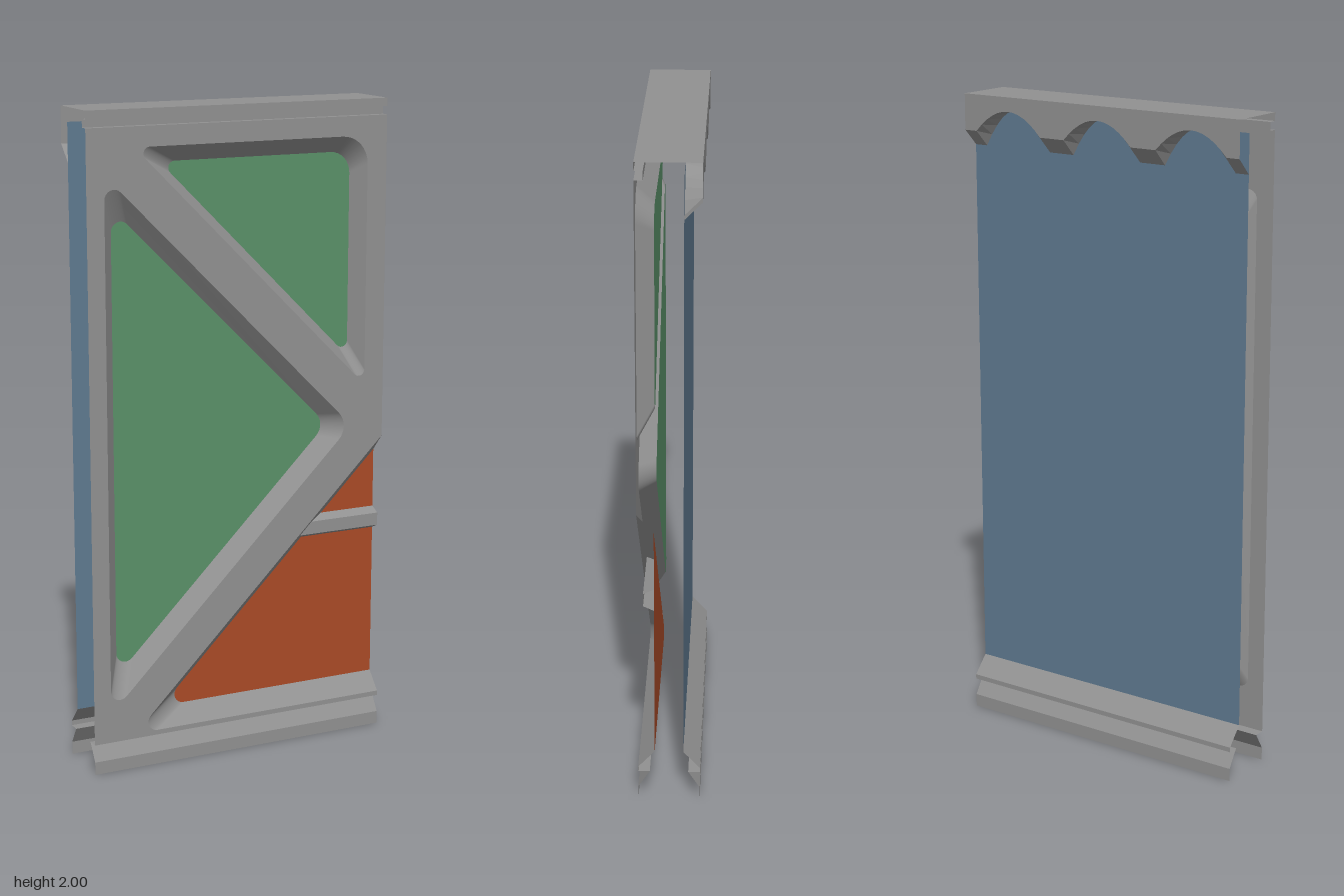
import * as THREE from 'three';

const W = 0.49;        // half width
const F = 0.093;       // outer faces at z = +F and z = -F
const R = 0.043;       // recessed panels at z = +R and z = -R

const material = (color, flatShading = false) =>
  new THREE.MeshStandardMaterial({ color, flatShading, side: THREE.DoubleSide });
const grey = material(0x919191);
const greyFlat = material(0x919191, true);
const green = material(0x5a9169);
const orange = material(0xaa4a27);
const blue = material(0x5f7a90);

// Outline from corners [x, y, radius]; every rounded corner gives the same number of points
function rounded(corners, steps = 8) {
  const pts = [];
  corners.forEach(([x, y, r], i) => {
    const v = new THREE.Vector2(x, y);
    if (!r) { pts.push(v); return; }
    const n = corners.length;
    const side = k => new THREE.Vector2(corners[k][0], corners[k][1]).sub(v).normalize();
    const a = side((i + n - 1) % n), b = side((i + 1) % n);
    const half = Math.acos(a.dot(b)) / 2;
    const c = a.clone().add(b).normalize().multiplyScalar(r / Math.sin(half)).add(v);
    const reach = r / Math.tan(half);
    const p = a.multiplyScalar(reach).add(v).sub(c), q = b.multiplyScalar(reach).add(v).sub(c);
    const start = p.angle();
    let turn = q.angle() - start;
    if (turn > Math.PI) turn -= 2 * Math.PI;
    if (turn < -Math.PI) turn += 2 * Math.PI;
    for (let s = 0; s <= steps; s++) {
      const t = start + turn * s / steps;
      pts.push(new THREE.Vector2(c.x + r * Math.cos(t), c.y + r * Math.sin(t)));
    }
  });
  return pts;
}

// Surface between two rows of 3D points
function ribbon(rowA, rowB, closed = false) {
  const n = rowA.length, index = [];
  for (let i = 0; i < (closed ? n : n - 1); i++) {
    const j = (i + 1) % n;
    index.push(i, j, n + i, j, n + j, n + i);
  }
  const g = new THREE.BufferGeometry().setFromPoints([...rowA, ...rowB]);
  g.setIndex(index);
  g.computeVertexNormals();
  return g;
}

const corner = (x, y) => new THREE.Vector2(x, y);
const atZ = (pts, z) => pts.map(p => new THREE.Vector3(p.x, p.y, z));

// Folded sheet: a [z, y] profile run along x
function sheet(profile, startX = () => -W) {
  return ribbon(
    profile.map(([z, y]) => new THREE.Vector3(startX(z, y), y, z)),
    profile.map(([z, y]) => new THREE.Vector3(W, y, z)));
}

// Lower edge of the valance: three shallow arches between hanging teeth
function scallop(low) {
  const pts = [corner(-W, low)];
  for (let k = -1; k <= 1; k++)
    for (let s = 0; s <= 12; s++) {
      const u = s / 6 - 1;
      pts.push(corner(k * 2 * W / 3 + 0.12 * u, low + (1.957 - low) * (1 - u * u)));
    }
  pts.push(corner(W, low));
  return pts;
}

export function createModel() {
  const group = new THREE.Group();
  const add = (name, geometry, mat) => {
    const m = new THREE.Mesh(geometry, mat);
    m.name = name;
    group.add(m);
    return m;
  };
  const flat = (name, pts, z, mat, holes = []) => {
    const s = new THREE.Shape(pts);
    s.holes = holes.map(h => new THREE.Path(h));
    add(name, new THREE.ShapeGeometry(s), mat).position.z = z;
  };

  // Window openings: outer edge on the frame, inner edge around the pane
  const windows = [
    {
      name: 'largeWindow', mat: green,
      outer: rounded([[-0.435, 0.185, 0.03], [0.38, 1, 0.06], [-0.435, 1.815, 0.03]]),
      inner: rounded([[-0.395, 0.285, 0.03], [0.32, 1, 0.05], [-0.395, 1.715, 0.03]]),
    },
    {
      name: 'upperWindow', mat: green,
      outer: rounded([[-0.34, 1.89, 0.02], [0.425, 1.125, 0.02], [0.425, 1.89, 0.085]]),
      inner: rounded([[-0.24, 1.84, 0.02], [0.39, 1.21, 0.02], [0.39, 1.84, 0.065]]),
    },
    {
      name: 'lowerPanel', mat: orange, open: true,
      outer: rounded([[W, 0.11], [-0.355, 0.11, 0.03], [W, 0.955]]),
      inner: rounded([[W, 0.165], [-0.245, 0.165, 0.03], [W, 0.9]]),
    },
  ];
  for (const w of windows) {
    flat(w.name, w.inner, R, w.mat);
    add(w.name + 'Bevel', ribbon(atZ(w.outer, F), atZ(w.inner, R), !w.open), grey);
  }

  // Front frame, open at the right beside the lower panel
  flat('frontFrame',
    [corner(-W, 0.095), corner(W, 0.095), ...windows[2].outer, corner(W, 1.95), corner(-W, 1.95)],
    F, grey, [windows[0].outer, windows[1].outer]);

  // Rail across the lower panel, trimmed along the sloping bevel
  add('rail', sheet([[R, 0.715], [0.075, 0.7], [0.075, 0.66], [R, 0.645]],
    (z, y) => y - 0.41 - 0.055 * (z - R) / (F - R)), greyFlat);

  // Top sheet with the groove along its front
  add('topCap', sheet([[-F, 2], [F, 2], [F, 1.975], [0.068, 1.975], [0.068, 1.95], [F, 1.95]]), greyFlat);

  // Grooved base strips, the back one with a sill
  const base = [[F, 0.095], [0.058, 0.095], [F, 0.04], [F, 0]];
  add('frontBase', sheet(base), greyFlat);
  add('backBase', sheet([[R, 0.165], [F, 0.11], ...base].map(([z, y]) => [-z, y])), greyFlat);

  // Back panel
  flat('backPanel', [corner(-W, 0.165), corner(W, 0.165), corner(W, 1.957), corner(-W, 1.957)], -R, blue);

  // Scalloped valance, its edge bevelled in to the back panel
  const outer = scallop(1.89), inner = scallop(1.84);
  flat('valance', [...outer, corner(W, 2), corner(-W, 2)], -F, grey);
  add('valanceBevel', ribbon(atZ(outer, -F), atZ(inner, -R)), greyFlat);

  return group;
}
